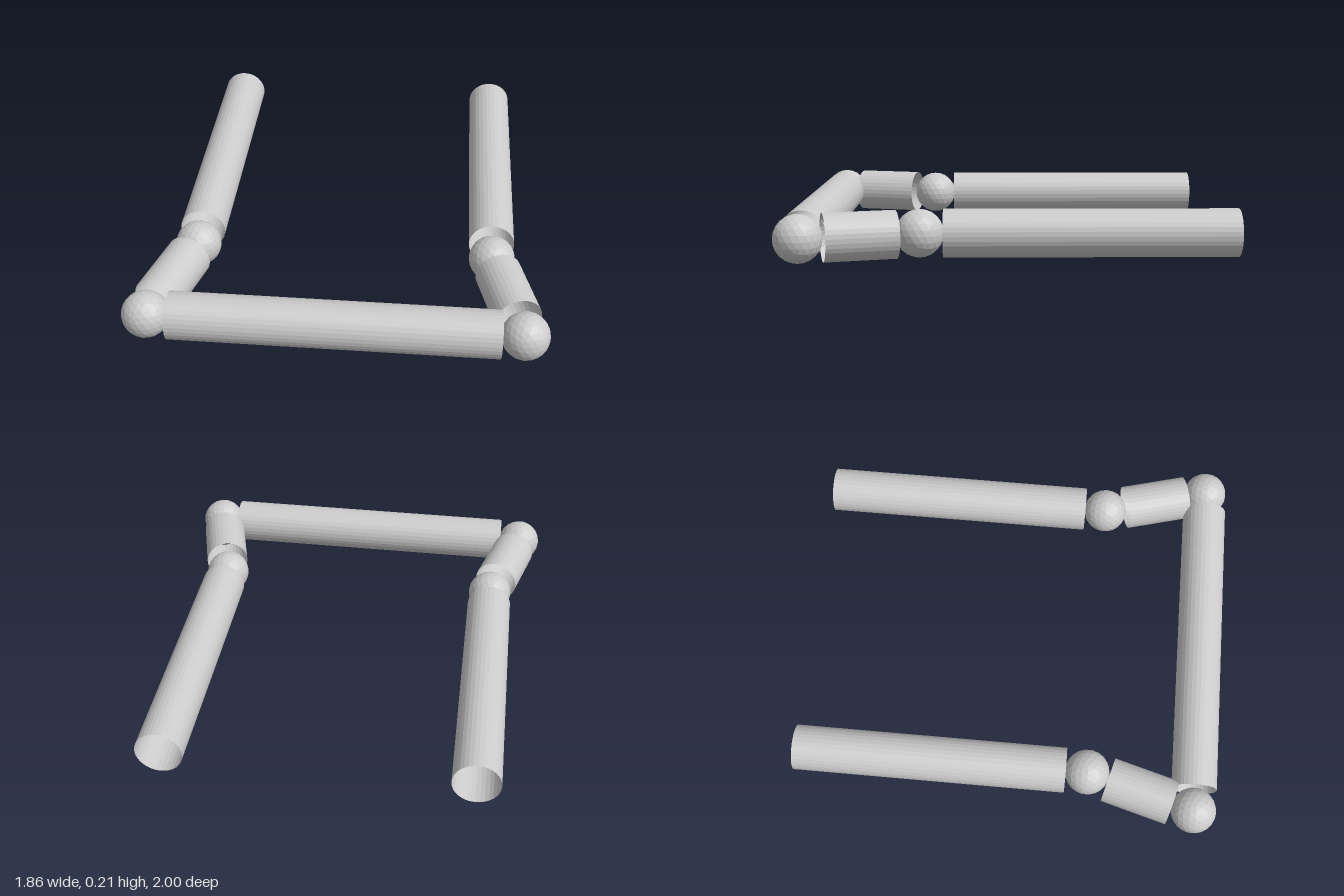
import * as THREE from 'three';

const R = 0.106; // shared radius of tubes and joints
const Y = 0.107; // height of the frame's centre line

export function createModel() {
  const model = new THREE.Group();
  model.name = 'tubeFrame';
  const material = new THREE.MeshStandardMaterial({
    color: 0xcccccc, flatShading: true, side: THREE.DoubleSide,
  });

  // Faceted ball joint with one vertex pointing straight up
  const ballGeometry = new THREE.IcosahedronGeometry(R, 3);
  ballGeometry.rotateZ(Math.atan(2 / (1 + Math.sqrt(5))));

  function addBall(name, position) {
    const ball = new THREE.Mesh(ballGeometry, material);
    ball.name = name;
    ball.position.copy(position);
    model.add(ball);
  }

  // Open tube between two points, shortened at each end by the given gaps
  function addTube(name, from, to, gapFrom, gapTo) {
    const dir = to.clone().sub(from).normalize();
    const a = from.clone().addScaledVector(dir, gapFrom);
    const b = to.clone().addScaledVector(dir, -gapTo);
    const tube = new THREE.Mesh(
      new THREE.CylinderGeometry(R, R, a.distanceTo(b), 32, 1, true), material);
    tube.name = name;
    tube.position.copy(a).add(b).multiplyScalar(0.5);
    tube.quaternion.setFromUnitVectors(new THREE.Vector3(0, 1, 0), dir);
    model.add(tube);
  }

  const corner = (side) => new THREE.Vector3(side * 0.823, Y, 0.892);

  // Each side: front corner ball, slanted link, elbow ball and long rear arm
  for (const [side, label] of [[1, 'left'], [-1, 'right']]) {
    const front = corner(side);
    const elbow = new THREE.Vector3(side * 0.685, Y, 0.387);
    const rear = new THREE.Vector3(side * 0.685, Y, -1);
    addBall(label + 'CornerJoint', front);
    addBall(label + 'ElbowJoint', elbow);
    addTube(label + 'Link', front, elbow, 0.104, 0.104);
    addTube(label + 'Arm', elbow, rear, 0.103, 0);
  }

  // Cross bar between the two front corners
  addTube('frontBar', corner(-1), corner(1), 0.101, 0.101);

  return model;
}
